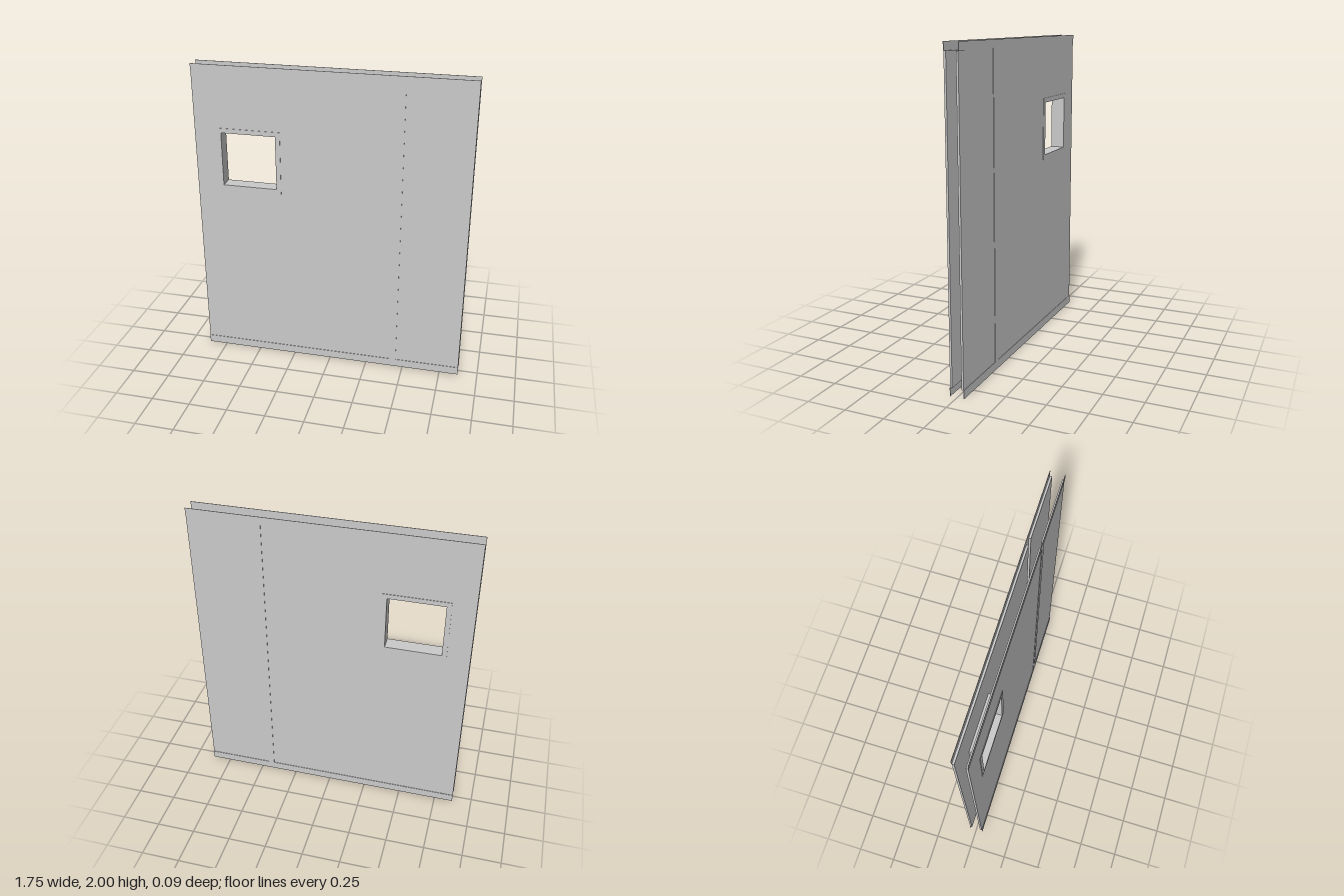
import * as THREE from 'three';

const W = 0.873;                                  // half width of the wall
const INNER = 0.03, OUTER = 0.043, TRIM = 0.003;  // depth of boards and trim
const LOW = 0.053, HIGH = 1.951;                  // board ends
const HOLE = [-0.7, 1.22, -0.348, 1.57];          // window: x0, y0, x1, y1
const JOINT = [0.412, 0.453];                     // gap between the two boards

const material = new THREE.MeshStandardMaterial({ color: 0xcccccc, side: THREE.DoubleSide });

function corners([x0, y0, x1, y1]) {
  return [[x0, y0], [x1, y0], [x1, y1], [x0, y1]].map(([x, y]) => new THREE.Vector2(x, y));
}

// Flat rectangular plate between z0 and z1, with an optional rectangular hole
function plate(name, rect, z0, z1, hole) {
  const shape = new THREE.Shape(corners(rect));
  if (hole) shape.holes.push(new THREE.Path(corners(hole)));
  const geometry = new THREE.ExtrudeGeometry(shape, { depth: z1 - z0, bevelEnabled: false });
  geometry.translate(0, 0, z0);
  const mesh = new THREE.Mesh(geometry, material);
  mesh.name = name;
  return mesh;
}

// One skin of the wall: boards plus the thin trim strips outside them
function createSkin(side) {
  const skin = new THREE.Group();
  skin.name = side > 0 ? 'frontSkin' : 'backSkin';
  const board = (name, rect, hole) => {
    const z = side > 0 ? [INNER, OUTER] : [-OUTER, -INNER];
    skin.add(plate(name, rect, ...z, hole));
  };
  const trim = (name, rect, hole) => {
    const z = side > 0 ? [OUTER, OUTER + TRIM] : [-OUTER - TRIM, -OUTER];
    skin.add(plate(name, rect, ...z, hole));
  };
  board('wideBoard', [-W, LOW, JOINT[0], HIGH], HOLE);
  board('narrowBoard', [JOINT[1], LOW, W, HIGH]);
  trim('bottomRail', [-W, 0, W, LOW]);
  trim('topRail', [-W, HIGH, W, 2]);
  trim('jointStrip', [JOINT[0], LOW, JOINT[1], HIGH]);
  const [x0, y0, x1, y1] = HOLE, e = 0.03;
  trim('windowTrim', [x0 - e, y0 - e, x1 + e, y1 + e], HOLE);
  return skin;
}

// Four thin sheets lining the window opening between the skins
function createWindowLining() {
  const lining = new THREE.Group();
  lining.name = 'windowLining';
  const [x0, y0, x1, y1] = HOLE;
  const cx = (x0 + x1) / 2, cy = (y0 + y1) / 2;
  const sheet = (name, w, h, x, y, rx, ry) => {
    const mesh = new THREE.Mesh(new THREE.PlaneGeometry(w, h), material);
    mesh.name = name;
    mesh.position.set(x, y, 0);
    mesh.rotation.set(rx, ry, 0);
    lining.add(mesh);
  };
  const q = Math.PI / 2;
  sheet('windowSill', x1 - x0, 2 * INNER, cx, y0, -q, 0);
  sheet('windowHead', x1 - x0, 2 * INNER, cx, y1, q, 0);
  sheet('rightJamb', 2 * INNER, y1 - y0, x0, cy, 0, q);
  sheet('leftJamb', 2 * INNER, y1 - y0, x1, cy, 0, -q);
  return lining;
}

export function createModel() {
  const wall = new THREE.Group();
  wall.name = 'partitionWall';
  wall.add(createSkin(1), createSkin(-1), createWindowLining());
  return wall;
}
